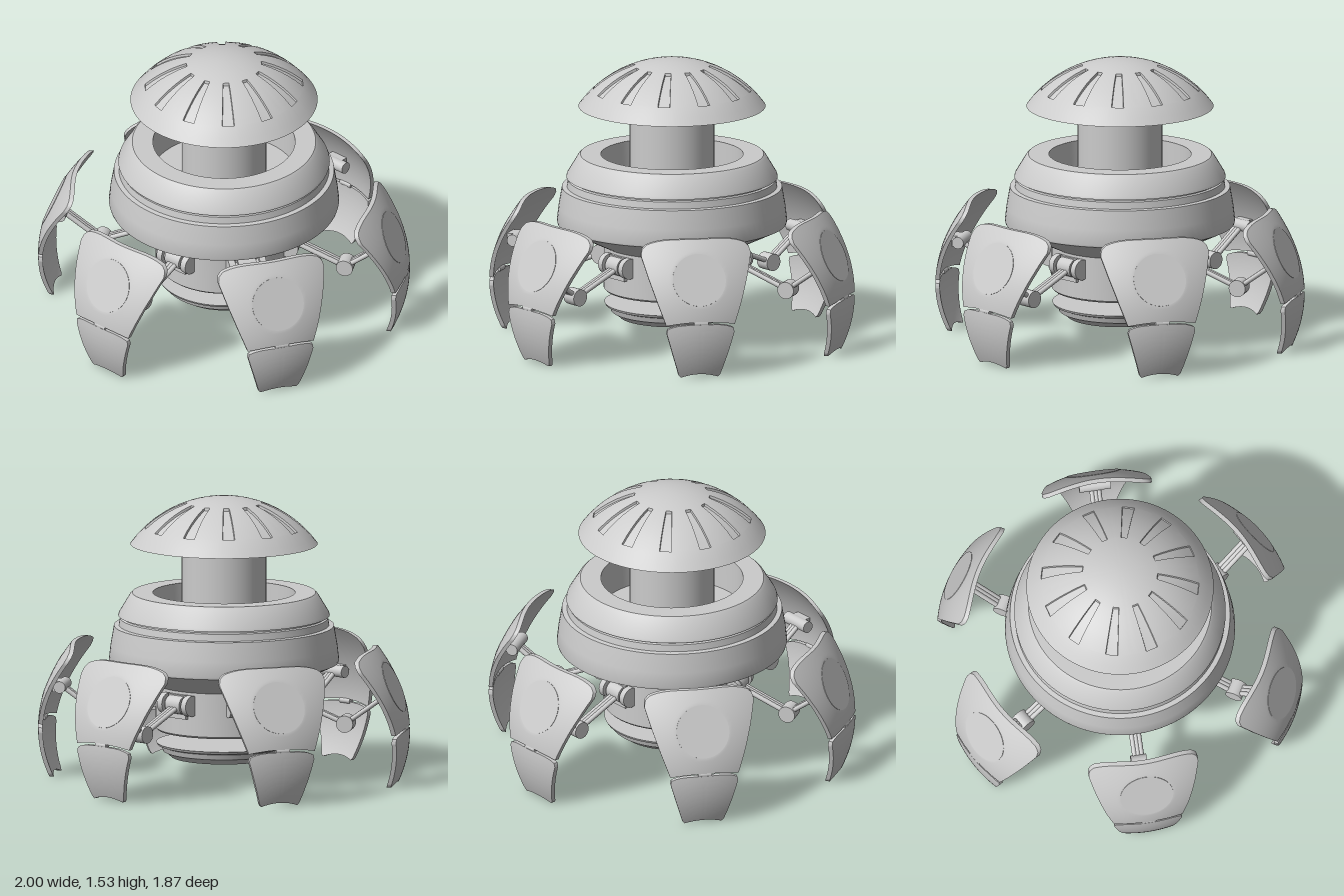
import * as THREE from 'three';
import { toCreasedNormals } from 'three/addons/utils/BufferGeometryUtils.js';

const material = new THREE.MeshStandardMaterial({ color: 0xcccccc });

function add(parent, name, geometry, x = 0, y = 0, z = 0) {
  const mesh = new THREE.Mesh(geometry, material);
  mesh.name = name;
  mesh.position.set(x, y, z);
  parent.add(mesh);
  return mesh;
}

// Profiles run from the bottom upwards as [radius, height]
function lathe(profile, segments = 96) {
  const points = profile.map(([r, y]) => new THREE.Vector2(r, y));
  return toCreasedNormals(new THREE.LatheGeometry(points, segments), 0.4);
}

// Cylinder lying across the leg
function pin(parent, name, radius, length, y, z) {
  const mesh = add(parent, name, new THREE.CylinderGeometry(radius, radius, length, 24), 0, y, z);
  mesh.rotation.z = Math.PI / 2;
}

// Three slim bars side by side between two points of the leg's middle plane
function armBars(parent, name, [y0, z0], [y1, z1]) {
  const length = Math.hypot(y1 - y0, z1 - z0);
  for (const x of [-0.019, 0, 0.019]) {
    const bar = add(parent, name, new THREE.CylinderGeometry(0.013, 0.013, length, 12),
      x, (y0 + y1) / 2, (z0 + z1) / 2);
    bar.rotation.x = Math.atan2(z1 - z0, y1 - y0);
  }
}

// Piecewise linear lookup in [key, value] pairs
function lookup(table, t) {
  for (let i = 1; i < table.length; i++) {
    const [a, va] = table[i - 1], [b, vb] = table[i];
    if (t <= b) return va + (vb - va) * (t - a) / (b - a);
  }
  return table[table.length - 1][1];
}

// Outer armour surface and the flat facet cut into it
const shellZ = (x, y) => 1 - 0.85 * (y - 0.27) ** 2 - 0.75 * x * x;
const FACET_Y = 0.53, FACET_SLOPE = -1.7 * (FACET_Y - 0.27);
const FACET_Z = shellZ(0, FACET_Y) - 0.0155;

// A box bent into a curved plate; widths are half widths from bottom to top
function plate(bottom, top, widths, topDrop, cutFacet) {
  const geometry = new THREE.BoxGeometry(2, 1, 1, 36, 36, 1);
  const p = geometry.attributes.position;
  for (let i = 0; i < p.count; i++) {
    const u = p.getX(i), v = p.getY(i) + 0.5;
    const x = u * lookup(widths, v);
    const drop = 0.02 * u * u * (1 - v) + topDrop * u ** 4 * v;
    const y = bottom + (top - bottom) * v - drop;
    let z = shellZ(x, y);
    if (p.getZ(i) < 0) z -= 0.024;
    else if (cutFacet) z = Math.min(z, FACET_Z + FACET_SLOPE * (y - FACET_Y));
    p.setXYZ(i, x, y, z);
  }
  return toCreasedNormals(geometry, 0.6);
}

const upperPlate = plate(0.315, 0.73,
  [[0, 0.185], [0.3, 0.228], [0.6, 0.267], [0.87, 0.297], [0.95, 0.288], [1, 0.265]], 0.03, true);
const lowerPlate = plate(0.02, 0.3,
  [[0, 0.1], [0.05, 0.112], [0.5, 0.15], [0.92, 0.183], [1, 0.178]], 0.025, false);

function createLeg() {
  const leg = new THREE.Group();
  leg.name = 'leg';
  add(leg, 'upperArmourPlate', upperPlate);
  add(leg, 'lowerArmourPlate', lowerPlate);
  const facet = add(leg, 'roundFacet', new THREE.CylinderGeometry(0.143, 0.143, 0.004, 48), 0, FACET_Y, FACET_Z);
  facet.rotation.x = Math.atan2(1, -FACET_SLOPE);
  // Hinge between the plates
  pin(leg, 'plateHinge', 0.016, 0.075, 0.305, 0.983);
  // Jointed arm from the core to the plate
  const shoulder = [0.45, 0.37], elbow = [0.325, 0.665], mount = [0.48, 0.88];
  add(leg, 'shoulderBracket', new THREE.BoxGeometry(0.12, 0.13, 0.06), 0, 0.44, 0.35);
  pin(leg, 'shoulderJoint', 0.05, 0.1, ...shoulder);
  for (const s of [-1, 1]) {
    const cap = add(leg, 'shoulderCap', new THREE.CylinderGeometry(0.056, 0.056, 0.035, 24), s * 0.085, ...shoulder);
    cap.rotation.z = Math.PI / 2;
  }
  pin(leg, 'shoulderPin', 0.035, 0.16, ...shoulder);
  armBars(leg, 'innerArm', shoulder, elbow);
  pin(leg, 'elbowJoint', 0.046, 0.085, ...elbow);
  armBars(leg, 'outerArm', elbow, mount);
  pin(leg, 'plateMount', 0.032, 0.17, ...mount);
  add(leg, 'plateBracket', new THREE.BoxGeometry(0.1, 0.06, 0.04), 0, 0.48, 0.905);
  return leg;
}

// Domed cap with twelve sunken radial slots
function capGeometry() {
  const R = 0.618, centreY = 0.912;
  const radii = [0.5, 0.47, 0.44, 0.423, 0.42, 0.38, 0.34, 0.3, 0.26, 0.22, 0.203, 0.2, 0.16, 0.12, 0.08, 0.04, 0];
  const points = radii.map(r => new THREE.Vector2(r, centreY + Math.sqrt(R * R - r * r)));
  points.unshift(new THREE.Vector2(0, 1.275));
  const deg = Math.PI / 180;
  const geometry = new THREE.LatheGeometry(points, 120, 1.5 * deg);
  const p = geometry.attributes.position;
  for (let i = 0; i < p.count; i++) {
    const x = p.getX(i), y = p.getY(i), z = p.getZ(i);
    const r = Math.hypot(x, z), angle = Math.atan2(x, z) / deg + 360;
    const offset = (angle % 30) - 15;
    if (Math.abs(offset) > 2 || y < 1.28) continue;
    // Spread the two middle columns to the slot's walls and sink them
    const a = (angle - offset + Math.sign(offset) * 4.2) * deg;
    const sunk = r > 0.202 && r < 0.4215 ? 0.014 : 0;
    p.setXYZ(i, r * Math.sin(a), y - sunk, r * Math.cos(a));
  }
  return toCreasedNormals(geometry, 0.35);
}

export function createModel() {
  const model = new THREE.Group();
  model.name = 'walkerPod';

  // Body with its open well on top and the core underneath
  add(model, 'body', lathe([
    [0, 0.51], [0.365, 0.52], [0.612, 0.638], [0.615, 0.65], [0.606, 0.73], [0.588, 0.835],
    [0.562, 0.838], [0.556, 0.875], [0.545, 0.88], [0.545, 0.888], [0.565, 0.89], [0.56, 0.905],
    [0.503, 1.0], [0.49, 1.012], [0.38, 1.012], [0.38, 0.82], [0, 0.82]]));
  add(model, 'core', lathe([
    [0, 0.3], [0.3, 0.3], [0.31, 0.275], [0.355, 0.275], [0.365, 0.285], [0.365, 0.53], [0, 0.53]]));

  // Raised column and cap
  add(model, 'column', new THREE.CylinderGeometry(0.226, 0.226, 0.47, 64), 0, 1.045, 0);
  add(model, 'cap', capGeometry());

  // Floating disc with a toothed underside
  const disc = new THREE.Group();
  disc.name = 'bottomDisc';
  model.add(disc);
  add(disc, 'discPlate', lathe([
    [0, 0.155], [0.255, 0.155], [0.26, 0.125], [0.28, 0.125], [0.312, 0.152], [0.325, 0.157],
    [0.335, 0.185], [0.355, 0.192], [0.362, 0.205], [0, 0.205]]));
  for (let i = 0; i < 16; i++) {
    const holder = new THREE.Group();
    holder.name = 'discTooth';
    holder.rotation.y = i * Math.PI / 8;
    disc.add(holder);
    add(holder, 'toothBar', new THREE.BoxGeometry(0.022, 0.03, 0.075), 0, 0.143, 0.2);
    add(holder, 'toothHead', new THREE.BoxGeometry(0.05, 0.022, 0.025), 0, 0.146, 0.222);
  }
  add(disc, 'hubRing', lathe([[0.1, 0.157], [0.1, 0.13], [0.165, 0.13], [0.165, 0.157]], 48));
  add(disc, 'hub', lathe([[0, 0.14], [0.03, 0.14], [0.035, 0.127], [0.07, 0.127], [0.08, 0.157]], 32));

  // Six legs around the core
  for (let i = 0; i < 6; i++) {
    const leg = createLeg();
    leg.rotation.y = (30 + i * 60) * Math.PI / 180;
    model.add(leg);
  }
  return model;
}
